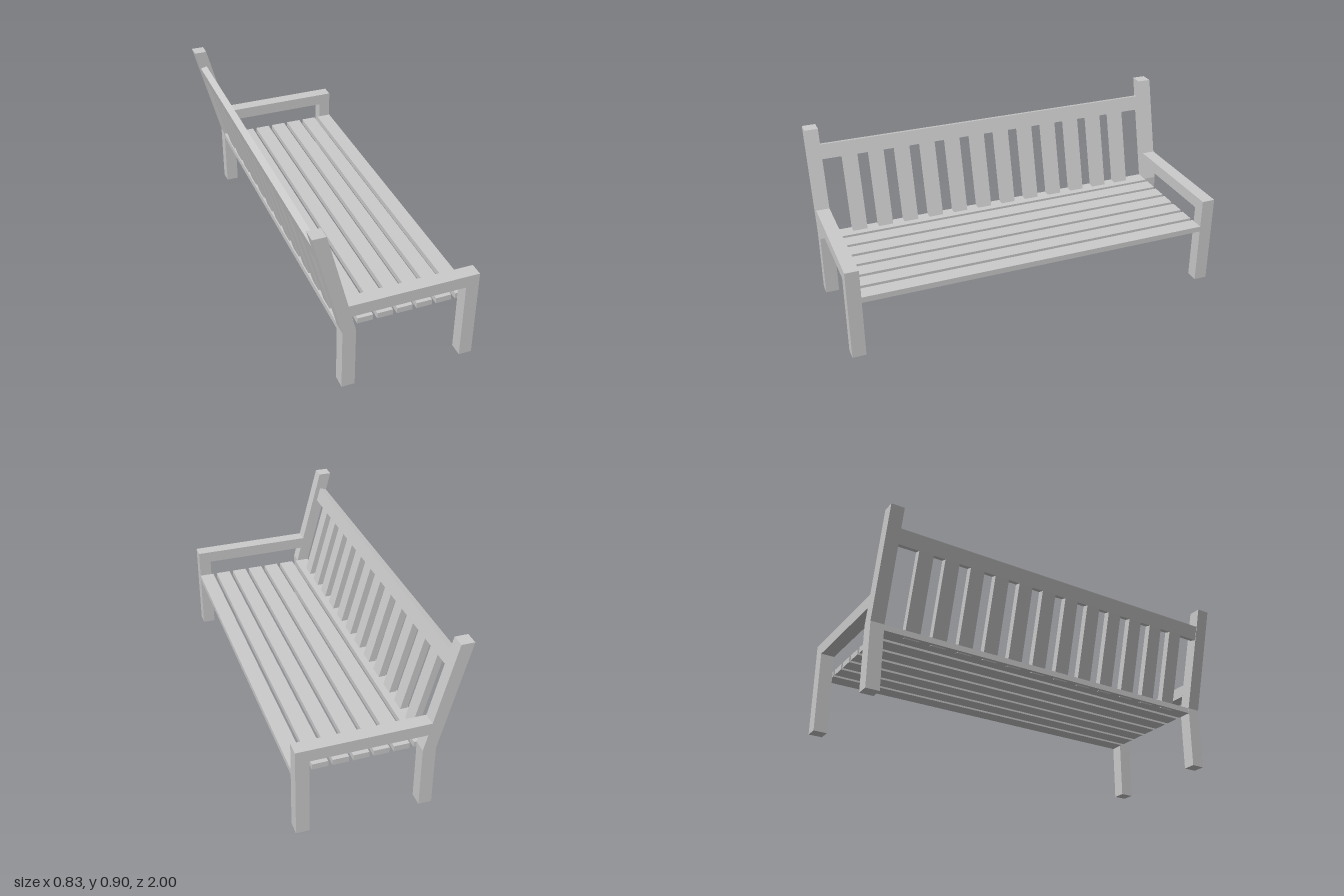
import * as THREE from 'three';

const material = new THREE.MeshStandardMaterial({ color: 0xcccccc, flatShading: true });

// Beam with an x-y cross-section, running along z around zCentre
function beam(name, points, depth, zCentre = 0) {
  const shape = new THREE.Shape(points.map(([x, y]) => new THREE.Vector2(x, y)));
  const geometry = new THREE.ExtrudeGeometry(shape, { depth, bevelEnabled: false });
  geometry.translate(0, 0, zCentre - depth / 2);
  const mesh = new THREE.Mesh(geometry, material);
  mesh.name = name;
  return mesh;
}

const rect = (x0, x1, y0, y1) => [[x0, y0], [x1, y0], [x1, y1], [x0, y1]];

export function createModel() {
  const bench = new THREE.Group();
  bench.name = 'bench';

  const post = 0.07;      // thickness of the end frames
  const span = 2 - 2 * post;

  // End frames: bent back leg, front leg and armrest
  for (const side of [-1, 1]) {
    const z = side * (1 - post / 2);
    const frame = new THREE.Group();
    frame.name = side > 0 ? 'leftEndFrame' : 'rightEndFrame';
    frame.add(
      beam('backLeg', [[-0.273, 0], [-0.206, 0], [-0.206, 0.335], [-0.351, 0.896],
        [-0.418, 0.896], [-0.273, 0.335]], post, z),
      beam('frontLeg', rect(0.348, 0.415, 0, 0.421), post, z),
      beam('armrest', [[-0.228, 0.421], [0.415, 0.421], [0.415, 0.485], [-0.245, 0.485]], post, z)
    );
    bench.add(frame);
  }

  // Seat slats
  const seat = new THREE.Group();
  seat.name = 'seat';
  for (let i = 0; i < 7; i++) {
    const x = -0.272 + i * 0.1012;
    seat.add(beam('seatSlat', rect(x, x + 0.08, 0.305, 0.335), span));
  }
  bench.add(seat);

  // Leaning backrest: top rail with upright slats below it
  const back = new THREE.Group();
  back.name = 'backrest';
  back.add(beam('topRail', [[-0.369, 0.72], [-0.334, 0.73], [-0.354, 0.805], [-0.389, 0.796]], span));
  for (let i = 0; i < 12; i++) {
    back.add(beam('backSlat', [[-0.256, 0.3], [-0.221, 0.309], [-0.334, 0.73], [-0.369, 0.72]],
      0.078, (i - 5.5) * 0.1418));
  }
  bench.add(back);

  return bench;
}
